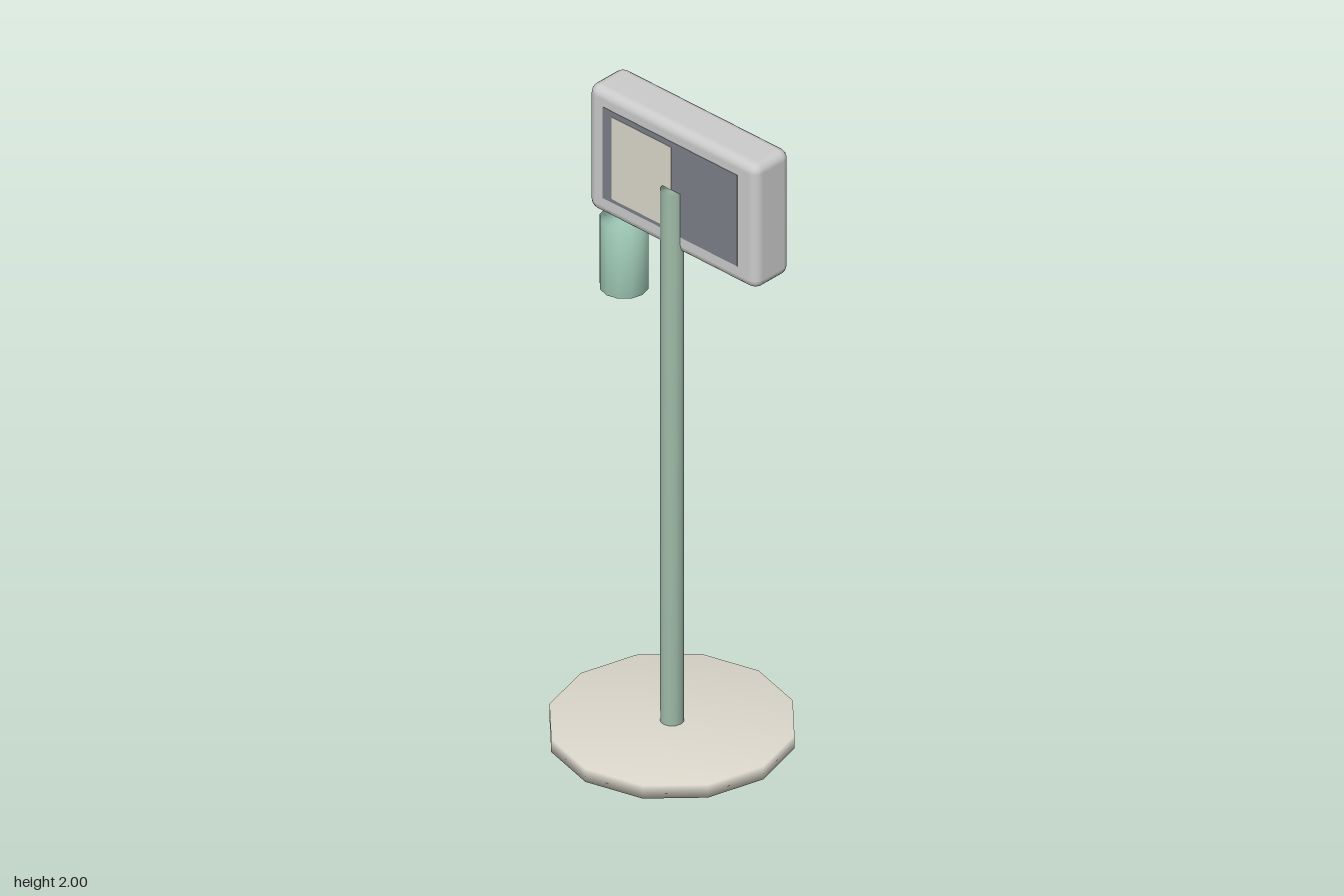
import * as THREE from 'three';
import { mergeVertices } from 'three/addons/utils/BufferGeometryUtils.js';
import { RoundedBoxGeometry } from 'three/addons/geometries/RoundedBoxGeometry.js';

const GREEN = 0x9fbaa8, CREAM = 0xdcd8cc, SLATE = 0x5b666e, MINT = 0xa4cfbc, ORANGE = 0xc98a4b;

function add(parent, name, geometry, color, x, y, z) {
  const mesh = new THREE.Mesh(geometry, new THREE.MeshStandardMaterial({ color }));
  mesh.name = name;
  mesh.position.set(x, y, z);
  parent.add(mesh);
  return mesh;
}

// Twelve-sided cylinder whose normals run smoothly over the rim
function softCylinder(radius, height) {
  const g = new THREE.CylinderGeometry(radius, radius, height, 12);
  g.deleteAttribute('uv');
  g.deleteAttribute('normal');
  const merged = mergeVertices(g, 1e-4);
  merged.computeVertexNormals();
  return merged;
}

export function createModel() {
  const model = new THREE.Group();
  model.name = 'displayStand';
  const cx = 0.083;

  // Stand
  add(model, 'base', softCylinder(0.35, 0.043), CREAM, cx, 0.0215, 0);
  add(model, 'pole', softCylinder(0.034, 1.79), GREEN, cx, 0.895, 0);

  // Display housing, just behind the pole centre
  const display = new THREE.Group();
  display.name = 'display';
  model.add(display);
  add(display, 'housing', new RoundedBoxGeometry(0.645, 0.41, 0.143, 2, 0.03), 0xcccccc, cx, 1.795, -0.0695);

  // Nearly flush panels on the front
  add(display, 'frontPanel', new THREE.BoxGeometry(0.515, 0.3, 0.004), 0x7c8088, 0.078, 1.798, 0.001);
  add(display, 'frontCard', new THREE.BoxGeometry(0.228, 0.27, 0.004), CREAM, -0.031, 1.795, 0.002);

  // Screen on the back
  add(display, 'screen', new THREE.BoxGeometry(0.495, 0.31, 0.014), SLATE, cx, 1.787, -0.149);

  // Chart bars: [bottom, top], from -x to +x
  const bars = [
    [1.72, 1.8], [1.72, 1.785], [1.645, 1.73], [1.645, 1.7], [1.645, 1.685],
    [1.68, 1.74], [1.7, 1.8], [1.75, 1.83], [1.71, 1.8], [1.7, 1.74],
  ];
  const chart = new THREE.Group();
  chart.name = 'chart';
  display.add(chart);
  bars.forEach(([low, high], i) => {
    const width = i > 5 ? 0.036 : 0.018;
    const x = -0.087 + i * 0.0415;
    add(chart, 'chartBar', new THREE.BoxGeometry(width, high - low, 0.006), MINT, x, (low + high) / 2, -0.159);
    if (i === 6 || i === 8) {
      add(chart, 'chartMarker', new THREE.BoxGeometry(0.018, 0.045, 0.006), ORANGE, x - 0.012, low + 0.02, -0.160);
    }
  });

  // Slanted arm reaching from the housing to the cup
  const start = new THREE.Vector3(-0.14, 1.61, -0.125);
  const end = new THREE.Vector3(-0.368, 1.4, -0.283);
  const dir = end.clone().sub(start);
  const mid = start.clone().add(end).multiplyScalar(0.5);
  const arm = add(model, 'arm', softCylinder(0.015, dir.length()), SLATE, mid.x, mid.y, mid.z);
  arm.quaternion.setFromUnitVectors(new THREE.Vector3(0, 1, 0), dir.normalize());

  // Hanging cup
  add(model, 'cup', softCylinder(0.07, 0.225), MINT, -0.368, 1.257, -0.283);

  return model;
}
